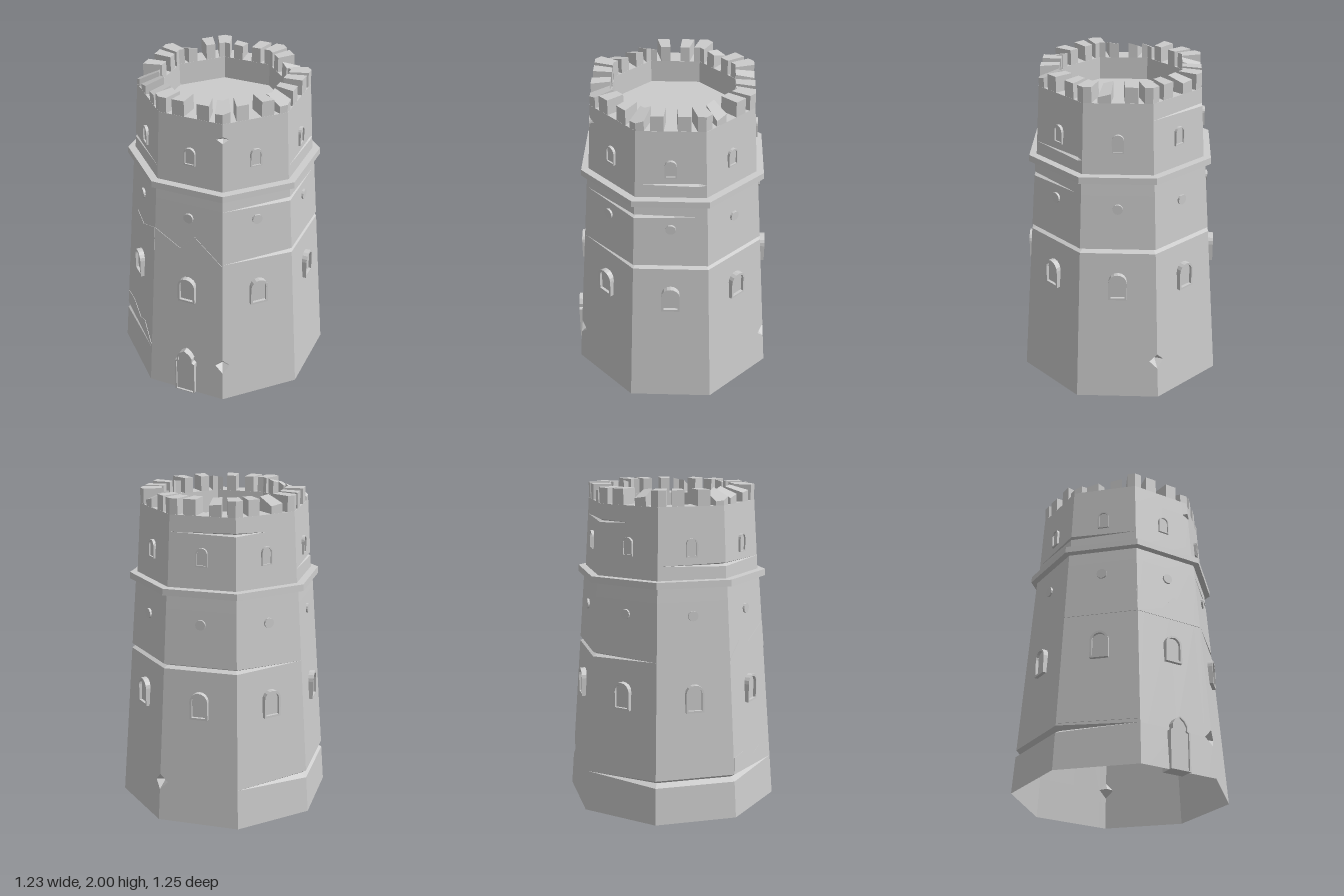
import * as THREE from 'three';

const material = new THREE.MeshStandardMaterial({ color: 0xcccccc, flatShading: true, side: THREE.DoubleSide });

// Point on an octagon; u runs 0..8 round the corners, face 0 (u 0..1) is the front
function ringPoint(u, apothem, y) {
  const k = Math.floor(u), t = u - k, r = apothem / Math.cos(Math.PI / 8);
  const corner = i => new THREE.Vector3(Math.sin((i - 0.5) * Math.PI / 4) * r, y, Math.cos((i - 0.5) * Math.PI / 4) * r);
  return corner(k).lerp(corner(k + 1), t);
}

// Cracks: fade in from a to b, full to c, fade out at d; h is half the opening
const cracks = [
  { y: 0.25, list: [
    { at: [5, 6, 7, 8], h: 0.022, depth: 0.035 },
    { at: [0.9, 1, 1, 1.1], h: 0.05, depth: 0.05 },
    { at: [3.9, 4, 4, 4.1], h: 0.05, depth: 0.05 }] },
  { y: 0.99, list: [{ at: [1, 2, 5, 6], h: 0.014, depth: 0.03 }] },
  { y: 1.345, list: [{ at: [1, 2, 2, 2.9], h: 0.013, depth: 0.03 }] },
  { y: 1.555, list: [
    { at: [6, 7, 7, 8], h: 0.011, depth: 0.03 },
    { at: [2, 2.9, 2.9, 3], h: 0.011, depth: 0.025 }] },
  { y: 1.8, list: [
    { at: [0.9, 1, 1, 1.1], h: 0.022, depth: 0.025 },
    { at: [4, 5, 5, 5.5], h: 0.01, depth: 0.02 }] },
];

function weight([a, b, c, d], u) {
  let w = 0;
  for (const v of [u, u + 8]) {
    if (v >= b && v <= c) w = 1;
    else if (v > a && v < b) w = Math.max(w, (v - a) / (b - a));
    else if (v > c && v < d) w = Math.max(w, (d - v) / (d - c));
  }
  return w;
}

const lowerWall = y => 0.615 - 0.1 * y / 1.43;
const upperWall = y => 0.505 - 0.025 * (y - 1.47) / 0.43;
const wallAt = y => (y < 1.45 ? lowerWall(y) : upperWall(y));

// Wall shell: rings from the open foot up over the ledge and down inside the parapet
function wallGeometry() {
  const us = [];
  for (let k = 0; k < 8; k++) us.push(k, k + 0.1, k + 0.5, k + 0.9);
  const rings = [];
  const plain = (y, r) => rings.push(us.map(u => ringPoint(u, r, y)));
  const crack = ({ y, list }) => {
    for (const side of [-1, 0, 1]) {
      rings.push(us.map(u => {
        let h = 0, depth = 0;
        for (const f of list) {
          const w = weight(f.at, u);
          h += f.h * w;
          depth += f.depth * w;
        }
        const yy = y + side * h;
        return ringPoint(u, wallAt(yy) - (side === 0 ? depth : 0), yy);
      }));
    }
  };
  plain(0, 0.615);
  cracks.slice(0, 3).forEach(crack);
  [[1.425, 0.515], [1.43, 0.55], [1.47, 0.548], [1.472, 0.505]].forEach(p => plain(...p));
  cracks.slice(3).forEach(crack);
  [[1.9, 0.48], [1.9, 0.365], [1.76, 0.362], [1.76, 0]].forEach(p => plain(...p));

  const pos = [], tri = new THREE.Triangle();
  const add = (a, b, c) => {
    if (tri.set(a, b, c).getArea() > 1e-9) for (const p of [a, b, c]) pos.push(p.x, p.y, p.z);
  };
  for (let i = 0; i + 1 < rings.length; i++) {
    for (let j = 0; j < us.length; j++) {
      const n = (j + 1) % us.length;
      const a = rings[i][j], b = rings[i][n], c = rings[i + 1][n], d = rings[i + 1][j];
      add(a, b, c);
      add(a, c, d);
    }
  }
  const g = new THREE.BufferGeometry();
  g.setAttribute('position', new THREE.Float32BufferAttribute(pos, 3));
  g.computeVertexNormals();
  return g;
}

// Merlon: wedge block between ring positions, its top lowered towards one end when broken
function merlonGeometry(us, chip) {
  const pts = us.map(u => ringPoint(u, 0.479, 0)).concat([...us].reverse().map(u => ringPoint(u, 0.366, 0)));
  const g = new THREE.ExtrudeGeometry(new THREE.Shape(pts.map(p => new THREE.Vector2(p.x, -p.z))), { depth: 0.115, bevelEnabled: false });
  g.rotateX(-Math.PI / 2).translate(0, 1.88, 0);
  const p = g.attributes.position, start = ringPoint(us[0], 0.479, 0), end = ringPoint(us.at(-1), 0.366, 0);
  const dir = end.clone().sub(start), len = dir.lengthSq();
  for (let i = 0; i < p.count; i++) {
    if (p.getY(i) < 1.95) continue;
    const t = ((p.getX(i) - start.x) * dir.x + (p.getZ(i) - start.z) * dir.z) / len;
    p.setY(i, 1.995 - chip * THREE.MathUtils.clamp(1 - t, 0, 1));
  }
  g.computeVertexNormals();
  return g;
}

// Arched outline: straight sides and a round head, or a shouldered pointed head
function archPoints(w, h, pointed) {
  if (pointed) {
    const right = [[w, 0], [w, h * 0.72], [w * 0.75, h * 0.75], [w * 0.78, h * 0.84], [w * 0.5, h * 0.93]];
    const left = right.map(([x, y]) => [-x, y]).reverse();
    return [...right, [0, h], ...left].map(p => new THREE.Vector2(...p));
  }
  const pts = [new THREE.Vector2(-w, 0), new THREE.Vector2(w, 0)];
  for (let i = 0; i <= 8; i++) pts.push(new THREE.Vector2(Math.cos(i * Math.PI / 8) * w, h - w + Math.sin(i * Math.PI / 8) * w));
  return pts;
}

const extrude = (shape, depth) => new THREE.ExtrudeGeometry(shape, { depth, bevelEnabled: false });

function archOpening(name, w, h, rim, depth, recess, pointed, sill = rim) {
  const group = new THREE.Group();
  group.name = name;
  const inner = archPoints(w - rim, h - rim - sill, pointed).map(p => p.add(new THREE.Vector2(0, sill)));
  const outer = new THREE.Shape(archPoints(w, h, pointed));
  outer.holes.push(new THREE.Path(inner));
  group.add(mesh(name + 'Frame', extrude(outer, depth)), mesh(name + 'Panel', extrude(new THREE.Shape(inner), depth - recess)));
  return group;
}

function mesh(name, geometry) {
  const m = new THREE.Mesh(geometry, material);
  m.name = name;
  return m;
}

export function createModel() {
  const tower = new THREE.Group();
  tower.name = 'tower';
  const body = new THREE.Group();
  body.name = 'towerBody';
  body.position.z = -0.012;
  tower.add(body);

  // Places a part on face k at height y and distance r from the axis
  const onFace = (part, k, y, r, tilt = 0) => {
    const holder = new THREE.Group();
    holder.name = part.name + 'Holder';
    holder.rotation.y = k * Math.PI / 4;
    part.position.set(0, y, r);
    part.rotation.x = -tilt;
    holder.add(part);
    body.add(holder);
  };

  body.add(mesh('wall', wallGeometry()));

  // Two merlons on each face and one wrapping each corner, some of them broken
  const chips = { 2: 0.04, 5: 0.05, 9: 0.06, 13: 0.03, 16: 0.05, 20: 0.07, 21: 0.06, 22: 0.04 };
  for (let k = 0; k < 8; k++) {
    [[k + 0.21, k + 0.4], [k + 0.6, k + 0.79], [k + 0.88, k + 1, k + 1.12]].forEach((us, i) =>
      body.add(mesh('merlon', merlonGeometry(us, chips[k * 3 + i] || 0))));
  }

  // Windows and round studs on every face
  for (let k = 0; k < 8; k++) {
    onFace(archOpening('lowerWindow', 0.056, 0.17, 0.013, 0.06, 0.018, false), k, 0.68, 0.53);
    onFace(archOpening('upperWindow', 0.035, 0.112, 0.008, 0.04, 0.01, false), k, 1.605, 0.469);
    const stud = new THREE.CylinderGeometry(0.031, 0.031, 0.04, 12).rotateX(Math.PI / 2);
    onFace(mesh('roundStud', stud), k, 1.26, 0.519);
  }

  // Door
  onFace(archOpening('door', 0.067, 0.325, 0.009, 0.09, 0.012, true, 0.004), 0, 0, 0.545);

  // Thin broken facing layers with jagged upper edges
  const tilt = Math.atan(0.1 / 1.43);
  const facing = (k, y, pts) => {
    const shape = new THREE.Shape(pts.map(p => new THREE.Vector2(...p)));
    onFace(mesh('brokenFacing', extrude(shape, 0.005)), k, y, lowerWall(y) - 0.002, tilt);
  };
  facing(0, 0.98, [[-0.226, 0], [0.222, 0], [0.04, 0.16], [-0.05, 0.06], [-0.218, 0.16]]);
  facing(7, 0.98, [[-0.226, 0], [0.226, 0], [0.218, 0.16], [0.02, 0.07], [-0.1, 0.1], [-0.222, 0.01]]);
  facing(7, 0.274, [[-0.24, 0.01], [0.24, 0], [0.1, 0.09], [0.02, 0.06], [-0.12, 0.11], [-0.235, 0.1]]);
  return tower;
}
